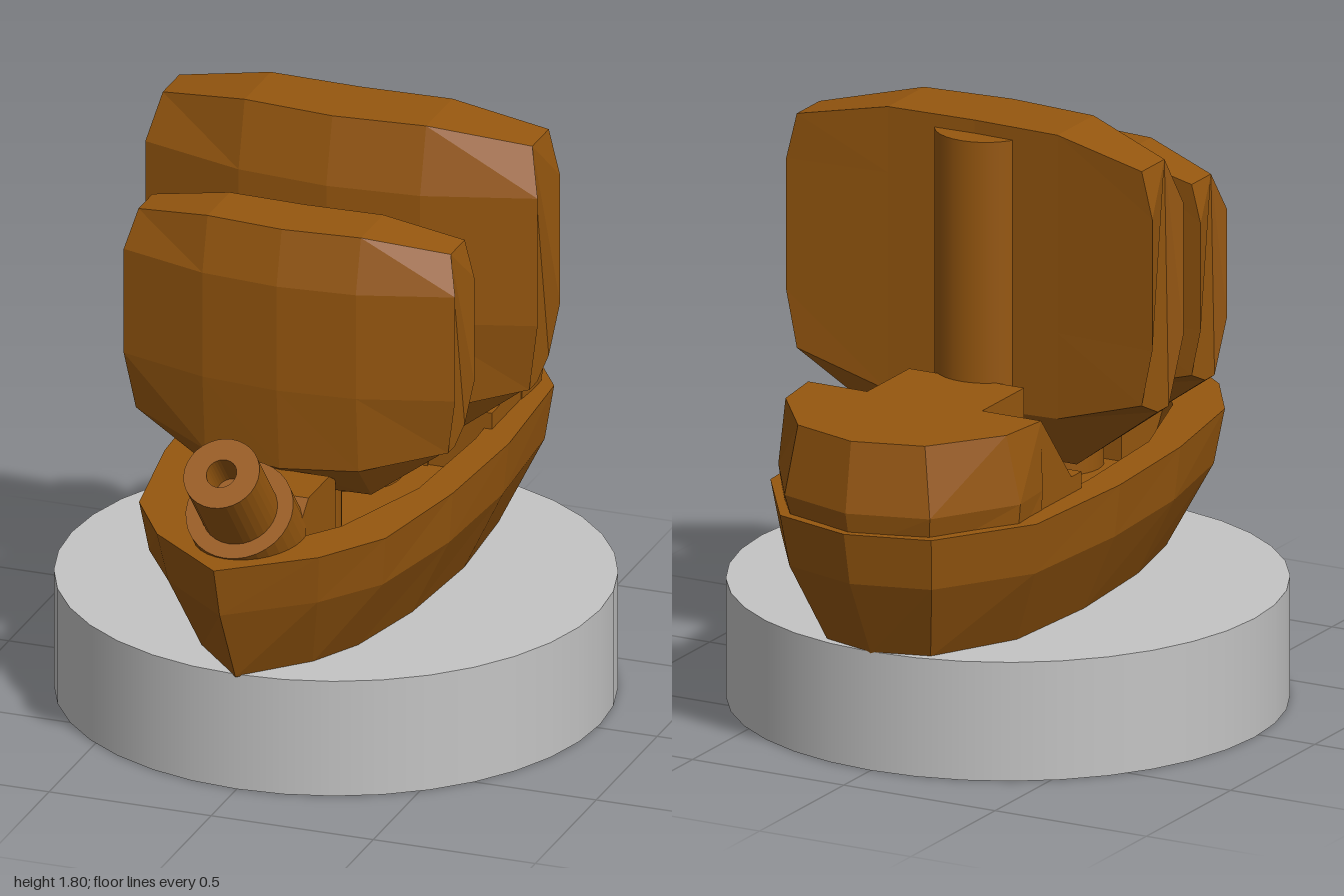
import * as THREE from 'three';

const wood = new THREE.MeshStandardMaterial({ color: 0x96570f });
wood.name = 'brown wood';
const stone = new THREE.MeshStandardMaterial({ color: 0xc4c4c4 });
stone.name = 'grey base';

// Faceted solid through a series of closed rings of [x, y, z] points, capped at both ends
function loft(rings) {
  const pos = [];
  const n = rings[0].length;
  const tri = (a, b, c) => pos.push(...a, ...b, ...c);
  for (let r = 0; r < rings.length - 1; r++) {
    for (let i = 0; i < n; i++) {
      const j = (i + 1) % n;
      const [a, b, c, d] = [rings[r][i], rings[r][j], rings[r + 1][j], rings[r + 1][i]];
      tri(a, b, c);
      tri(a, c, d);
    }
  }
  const first = rings[0], last = rings[rings.length - 1];
  for (let i = 1; i < n - 1; i++) {
    tri(first[0], first[i + 1], first[i]);
    tri(last[0], last[i], last[i + 1]);
  }
  const g = new THREE.BufferGeometry();
  g.setAttribute('position', new THREE.Float32BufferAttribute(pos, 3));
  g.computeVertexNormals();
  return g;
}

// Half outline of [x, z] points mirrored to a closed ring at height y
function mirrored(y, half) {
  const other = half.filter(p => p[0] > 0).reverse().map(([x, z]) => [-x, y, z]);
  return [...half.map(([x, z]) => [x, y, z]), ...other];
}

// Side profile of [z, y] points extruded from x0 to x1
function sideExtrude(profile, x0, x1) {
  const shape = new THREE.Shape(profile.map(([z, y]) => new THREE.Vector2(-z, y)));
  const g = new THREE.ExtrudeGeometry(shape, { depth: x1 - x0, bevelEnabled: false });
  return g.rotateY(Math.PI / 2).translate(x0, 0, 0);
}

function add(parent, name, geometry, material = wood) {
  const mesh = new THREE.Mesh(geometry, material);
  mesh.name = name;
  parent.add(mesh);
  return mesh;
}

// Thick billowed sail; each column is a ring running down the front and up the back
function sailGeometry() {
  const column = (w, top, low, ridge, back, dz, bz, taper) => {
    const t = w * taper;
    return [
      [t, top, 0.005 + dz], [w, 1.6, 0.055 + dz], [w, 1.2, 0.055 + dz], [t, low, 0.03 + dz],
      [t, ridge, -0.11 + dz * 0.4],
      [t, back, bz], [w, 1.2, bz], [w, 1.6, bz], [t, top, bz],
    ];
  };
  const end = s => column(0.605 * s, 1.74, 0.985, 0.985, 1.03, -0.125, -0.255, 0.942);
  const mid = s => column(0.28 * s, 1.8, 0.91, 0.77, 0.94, -0.025, -0.235, 1);
  return loft([end(-1), mid(-1), column(0, 1.8, 0.89, 0.77, 0.93, 0, -0.225, 1), mid(1), end(1)]);
}

// Sail with its mast, built at the size of the rear one
function riggedMast(name) {
  const g = new THREE.Group();
  g.name = name;
  add(g, 'sail', sailGeometry());
  add(g, 'mast', new THREE.CylinderGeometry(0.15, 0.15, 1.2, 32).translate(0, 1.16, -0.155));
  return g;
}

export function createModel() {
  const model = new THREE.Group();
  model.name = 'shipOnBase';

  // Round base
  add(model, 'base', new THREE.CylinderGeometry(0.815, 0.815, 0.36, 36).translate(0, 0.18, -0.025), stone);

  // Hull with a rim and a sunken deck
  add(model, 'hull', loft([
    mirrored(0.355, [[0, 0.8], [0.17, 0.62], [0.25, 0.46], [0.31, 0.18], [0.335, -0.18], [0.31, -0.53], [0.17, -0.79], [0, -0.84]]),
    mirrored(0.6, [[0, 0.93], [0.23, 0.74], [0.36, 0.55], [0.43, 0.19], [0.45, -0.2], [0.42, -0.62], [0.235, -0.9], [0, -0.965]]),
    mirrored(0.76, [[0, 0.98], [0.25, 0.78], [0.38, 0.58], [0.445, 0.2], [0.468, -0.2], [0.44, -0.645], [0.25, -0.93], [0, -1]]),
    mirrored(0.76, [[0, 0.74], [0.13, 0.68], [0.23, 0.54], [0.34, 0.2], [0.365, -0.2], [0.35, -0.5], [0.2, -0.78], [0, -0.85]]),
    mirrored(0.62, [[0, 0.7], [0.1, 0.64], [0.18, 0.5], [0.29, 0.2], [0.31, -0.2], [0.3, -0.5], [0.17, -0.75], [0, -0.81]]),
  ]));

  // Stern castle: main body, middle tongue and a ramp on each side
  add(model, 'sternCastle', loft([
    mirrored(0.7, [[0.385, -0.52], [0.385, -0.66], [0.22, -0.89], [0, -0.96]]),
    mirrored(0.82, [[0.39, -0.52], [0.4, -0.67], [0.24, -0.92], [0, -0.99]]),
    mirrored(1.03, [[0.385, -0.52], [0.365, -0.69], [0.21, -0.895], [0, -0.957]]),
  ]));
  add(model, 'castleTongue', sideExtrude([[-0.27, 0.61], [-0.27, 1.03], [-0.54, 1.03], [-0.54, 0.61]], -0.19, 0.19));
  const ramp = [[-0.28, 0.62], [-0.28, 0.81], [-0.34, 0.81], [-0.52, 1.03], [-0.54, 0.62]];
  for (const [name, x0] of [['leftRamp', 0.19], ['rightRamp', -0.385]]) {
    add(model, name, sideExtrude(ramp, x0, x0 + 0.195));
  }

  // Two masts with sails, the front one smaller
  model.add(riggedMast('rearMast'));
  const front = riggedMast('frontMast');
  front.scale.set(0.845, 0.815, 0.85);
  front.position.set(0, 0.77 * (1 - 0.815), 0.2 + 0.255 * 0.85);
  model.add(front);

  // Cannon: carriage and hollow barrel with a thick breech ring
  add(model, 'cannonCarriage', sideExtrude(
    [[0.38, 0.61], [0.38, 0.83], [0.43, 0.86], [0.6, 0.86], [0.72, 0.76], [0.72, 0.61]], -0.15, 0.15));
  const barrel = [[0, -0.39], [0.16, -0.39], [0.16, -0.226], [0.113, -0.226],
    [0.113, 0], [0.045, 0], [0.045, -0.12], [0, -0.12]];
  const lathe = new THREE.LatheGeometry(barrel.map(p => new THREE.Vector2(...p)), 32).toNonIndexed();
  lathe.computeVertexNormals();
  const cannon = add(model, 'cannonBarrel', lathe);
  cannon.rotation.x = 0.71;
  cannon.position.set(0, 1.04, 0.915);

  return model;
}
